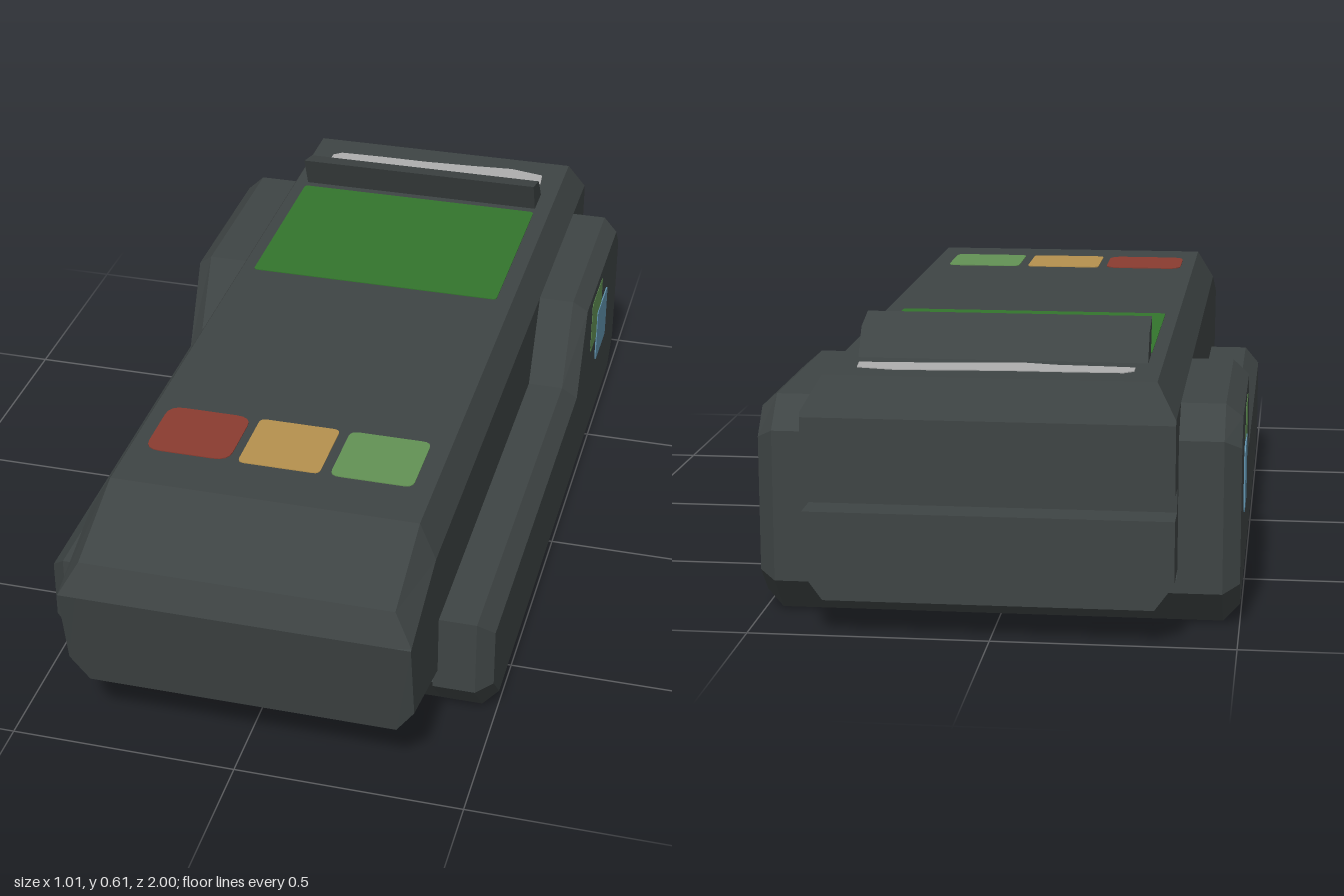
import * as THREE from 'three';

const mat = (name, color) => Object.assign(new THREE.MeshStandardMaterial({ color }), { name });

// Skin matching [z, y] profiles placed at ascending x; profiles run front, top, back, bottom
function loft(layers) {
  const pos = [];
  const tri = (a, b, c) => pos.push(...a, ...b, ...c);
  const at = ([x, p], i) => { const [z, y] = p[i % p.length]; return [x, y, z]; };
  for (let k = 0; k < layers.length - 1; k++) {
    const lo = layers[k], hi = layers[k + 1];
    for (let i = 0; i < lo[1].length; i++) {
      tri(at(lo, i), at(hi, i + 1), at(lo, i + 1));
      tri(at(lo, i), at(hi, i), at(hi, i + 1));
    }
  }
  // End caps
  [[layers[0], -1], [layers[layers.length - 1], 1]].forEach(([layer, dir]) => {
    const pts = layer[1].map(([z, y]) => new THREE.Vector2(-z, y));
    for (const [i, j, k] of THREE.ShapeUtils.triangulateShape(pts, [])) {
      const area = pts[j].clone().sub(pts[i]).cross(pts[k].clone().sub(pts[i]));
      if (area * dir > 0) tri(at(layer, i), at(layer, j), at(layer, k));
      else tri(at(layer, i), at(layer, k), at(layer, j));
    }
  });
  const g = new THREE.BufferGeometry();
  g.setAttribute('position', new THREE.Float32BufferAttribute(pos, 3));
  g.computeVertexNormals();
  return g;
}

// Thin plate with rounded corners, lying in the XY plane and facing +z
function plate(w, h, r, depth = 0.004) {
  const s = new THREE.Shape(), x = w / 2, y = h / 2;
  s.moveTo(-x + r, -y).lineTo(x - r, -y).quadraticCurveTo(x, -y, x, -y + r);
  s.lineTo(x, y - r).quadraticCurveTo(x, y, x - r, y);
  s.lineTo(-x + r, y).quadraticCurveTo(-x, y, -x, y - r);
  s.lineTo(-x, -y + r).quadraticCurveTo(-x, -y, -x + r, -y);
  return new THREE.ExtrudeGeometry(s, { depth, bevelEnabled: false, curveSegments: 4 });
}

export function createModel() {
  const group = new THREE.Group();
  const casing = mat('charcoal casing', 0x3e4444);
  const screenGreen = mat('screen green', 0x33752d);
  const red = mat('red', 0x8a3c30);
  const amber = mat('amber', 0xb5914e);
  const leaf = mat('light green', 0x639255);
  const blue = mat('blue', 0x6193ae);
  const paperGrey = mat('paper grey', 0xaeaeae);

  const add = (name, geometry, material) => {
    const m = new THREE.Mesh(geometry, material);
    m.name = name;
    group.add(m);
    return m;
  };

  // Main body with chamfered long edges and a card slot across the back
  const slot = [[-1, 0.31], [-0.925, 0.31], [-0.925, 0.26], [-1, 0.26]];
  const side = [[1, 0.39], [0.995, 0.392], [0.78, 0.465], [-0.995, 0.465], [-1, 0.455],
    ...slot, [-1, 0.13], [0.74, 0.145], [0.96, 0.2]];
  const core = [[1, 0.39], [0.97, 0.46], [0.76, 0.535], [-0.96, 0.535], [-1, 0.455],
    ...slot, [-1, 0.075], [0.74, 0.085], [0.95, 0.14]];
  add('body', loft([[-0.373, side], [-0.333, core], [0.342, core], [0.382, side]]), casing);

  // Cradle floor under the body
  add('cradleFloor', loft([-0.372, 0.372].map(x => [x,
    [[0.74, 0.11], [-0.89, 0.11], [-0.89, 0.08], [-0.81, 0], [0.65, 0]]])), casing);

  // Side panels, stepped up at the rear and bevelled on the outside
  const rim = [[0.74, 0.28], [-0.255, 0.28], [-0.36, 0.465], [-0.825, 0.465], [-0.89, 0.4],
    [-0.89, 0.08], [-0.81, 0], [0.65, 0], [0.74, 0.1]];
  const face = [[0.71, 0.245], [-0.275, 0.245], [-0.375, 0.435], [-0.81, 0.435], [-0.86, 0.38],
    [-0.86, 0.095], [-0.8, 0.035], [0.64, 0.035], [0.71, 0.11]];
  add('leftPanel', loft([[0.372, rim], [0.465, rim], [0.5, face]]), casing);
  add('rightPanel', loft([[-0.5, face], [-0.465, rim], [-0.372, rim]]), casing);

  // Raised paper tear bar
  add('tearBar', loft([-0.302, 0.302].map(x => [x,
    [[-0.66, 0.613], [-0.735, 0.593], [-0.78, 0.53], [-0.695, 0.53]]])), casing);

  // Flat details on the top face
  const onTop = (name, geometry, material, x = 0, z = 0) => {
    const m = add(name, geometry, material);
    m.rotation.x = -Math.PI / 2;
    m.position.set(x, 0.533, z);
  };
  onTop('screen', plate(0.606, 0.47, 0.01), screenGreen, 0, -0.435);
  onTop('redKey', plate(0.19, 0.178, 0.035), red, -0.205, 0.546);
  onTop('amberKey', plate(0.182, 0.178, 0.015), amber, 0.001, 0.546);
  onTop('greenKey', plate(0.182, 0.178, 0.02), leaf, 0.206, 0.546);

  // Torn paper strip, listed as [x, -z]
  const strip = new THREE.Shape([[-0.28, 0.83], [-0.22, 0.825], [-0.12, 0.82], [-0.05, 0.805],
    [0.05, 0.815], [0.15, 0.825], [0.29, 0.832], [0.285, 0.882], [0.2, 0.9], [0.1, 0.892],
    [-0.03, 0.885], [-0.15, 0.885], [-0.26, 0.882], [-0.28, 0.865]].map(p => new THREE.Vector2(...p)));
  onTop('paper', new THREE.ExtrudeGeometry(strip, { depth: 0.004, bevelEnabled: false }), paperGrey);

  // Overlapping square badges on both panels
  for (const s of [1, -1]) {
    const badge = (name, material, y, z, lift) => {
      const m = add(name, plate(0.146, 0.14, 0.01, 0.003), material);
      m.rotation.y = s * Math.PI / 2;
      m.position.set(s * (0.498 + lift), y, z);
    };
    badge('greenBadge', leaf, 0.34, -0.53, 0);
    badge('blueBadge', blue, 0.27, -0.614, 0.002);
  }
  return group;
}
